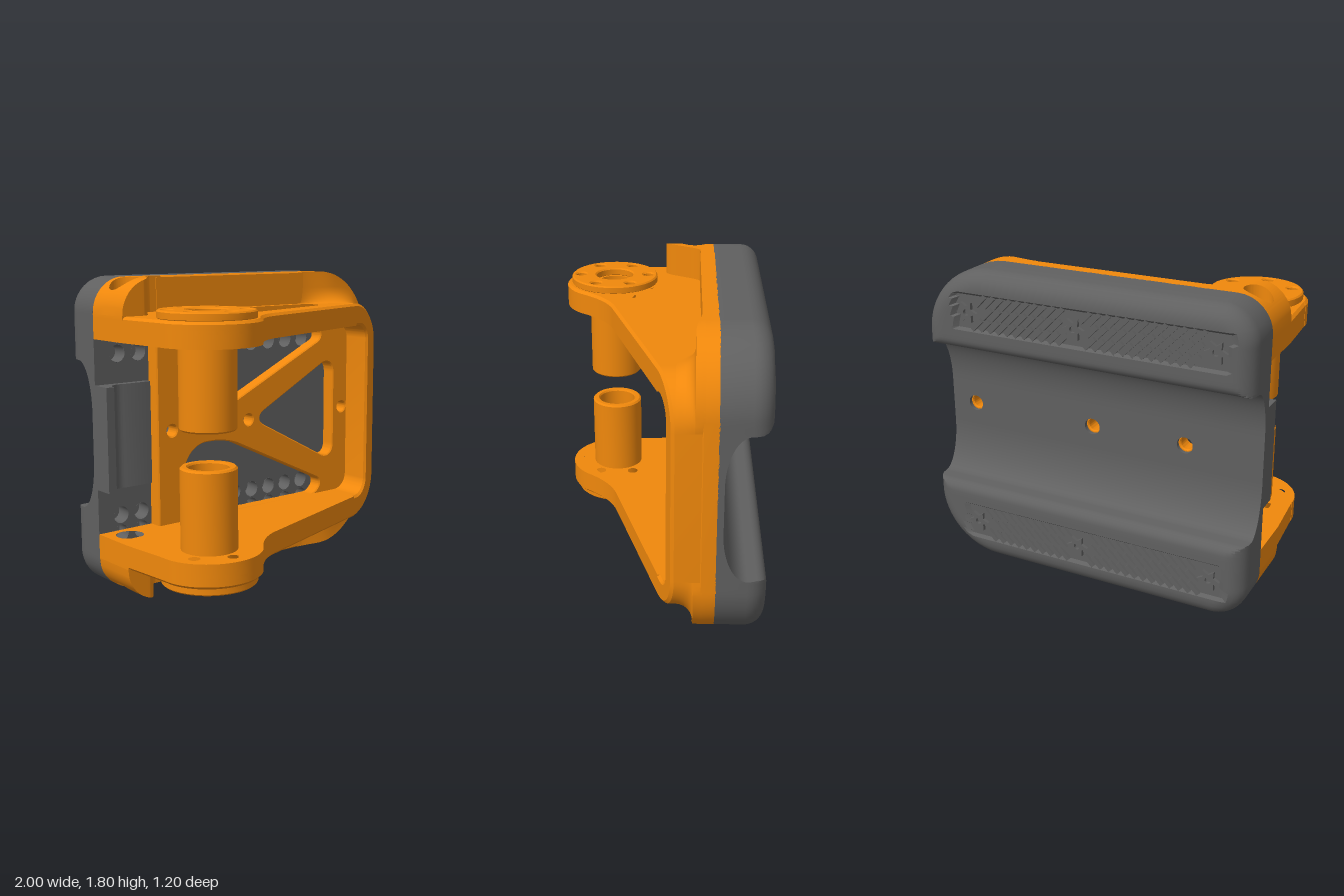
import * as THREE from 'three';
import { toCreasedNormals } from 'three/addons/utils/BufferGeometryUtils.js';

const orange = new THREE.MeshStandardMaterial({ color: 0xf0880c });
const grey = new THREE.MeshStandardMaterial({ color: 0x606060 });
const greyThin = new THREE.MeshStandardMaterial({ color: 0x606060, side: THREE.DoubleSide });
const H = 1.8, PIVOT = [-0.68, 0.3], BOLTS = [-0.54, 0.04, 0.84];

// Polygon whose corners [x, y, cut] are rounded off by the cut length
function roundPoly(pts, Type = THREE.Shape) {
  const s = new Type();
  pts.forEach(([x, y, cut = 0], i) => {
    const toward = (p, d) => new THREE.Vector2(p[0] - x, p[1] - y).setLength(d).add(new THREE.Vector2(x, y));
    const prev = pts[(i + pts.length - 1) % pts.length], next = pts[(i + 1) % pts.length];
    const a = toward(prev, cut), b = toward(next, cut);
    if (i === 0) s.moveTo(a.x, a.y); else s.lineTo(a.x, a.y);
    if (cut) {
      const k = toward(prev, cut * 0.45), l = toward(next, cut * 0.45);
      s.bezierCurveTo(k.x, k.y, l.x, l.y, b.x, b.y);
    }
  });
  s.closePath();
  return s;
}

const circle = (x, y, r) => new THREE.Path().absarc(x, y, r, 0, Math.PI * 2, true);

function extrude(shape, depth, bevel = 0) {
  return new THREE.ExtrudeGeometry(shape, {
    depth: depth - 2 * bevel, curveSegments: 20, bevelEnabled: bevel > 0,
    bevelThickness: bevel, bevelSize: bevel, bevelOffset: -bevel, bevelSegments: 1,
  }).translate(0, 0, bevel);
}

// Shape drawn in x and z, filling the heights y0 to y1
const slab = (shape, y0, y1, bevel) => extrude(shape, y1 - y0, bevel).rotateX(Math.PI / 2).translate(0, y1, 0);

// Surface through rows of points, n points in each
function gridGeometry(pos, n) {
  const idx = [];
  for (let q = n + 1; q < pos.length / 3; q++) {
    if (q % n) idx.push(q - n - 1, q - n, q - 1, q - n, q, q - 1);
  }
  const g = new THREE.BufferGeometry();
  g.setAttribute('position', new THREE.Float32BufferAttribute(pos, 3));
  g.setIndex(idx);
  return g;
}

function add(group, name, geometry, material = orange) {
  const flat = geometry.index ? geometry.toNonIndexed() : geometry;
  const mesh = new THREE.Mesh(toCreasedNormals(flat, 0.6), material);
  mesh.name = name;
  group.add(mesh);
}

// Adds a lower part and its reflection about mid height
function addPair(group, name, geometry, material = orange) {
  const low = geometry.index ? geometry.toNonIndexed() : geometry;
  const high = low.clone().scale(1, -1, 1).translate(0, H, 0);
  const p = high.attributes.position, a = new THREE.Vector3(), b = new THREE.Vector3();
  for (let i = 0; i < p.count; i += 3) {
    a.fromBufferAttribute(p, i); b.fromBufferAttribute(p, i + 2);
    p.setXYZ(i, b.x, b.y, b.z); p.setXYZ(i + 2, a.x, a.y, a.z);
  }
  add(group, name + 'Lower', low, material);
  add(group, name + 'Upper', high, material);
}

// Pad outline, with d the distance above or below mid height
const padLeft = (d) => (d > 0.7 ? -0.8 - Math.sqrt(Math.max(0, 0.04 - (d - 0.7) ** 2)) : -1);
const padRight = (d) => (d > 0.5 ? 0.6 + Math.sqrt(Math.max(0, 0.16 - (d - 0.5) ** 2)) : 1);

// Depth of the pad's back: hollow channel, sunken grip area and rounded rim
function padDepth(x, d) {
  let inset = Math.min(1 - Math.abs(x), 0.9 - d);
  if (x < -0.8 && d > 0.7) inset = 0.2 - Math.hypot(x + 0.8, d - 0.7);
  if (x > 0.6 && d > 0.5) inset = 0.4 - Math.hypot(x - 0.6, d - 0.5);
  const e = 1 - THREE.MathUtils.clamp(inset / 0.11, 0, 1);
  const rim = 0.49 + 0.11 * Math.sqrt(1 - e * e);
  let band = 0.6;
  if (d <= 0.43) band = 0.49 - 0.135 * Math.sqrt(Math.max(0, 1 - ((d - 0.14) / 0.29) ** 2));
  else if (d < 0.49) band = 0.54 + 0.06 * Math.sqrt(1 - ((0.49 - d) / 0.06) ** 2);
  else if (d > 0.56 && d < 0.775 && x > -0.89 && x < 0.78) band = 0.58;
  return Math.min(rim, band);
}

function padHalf() {
  const insets = [0, 0, 0.004, 0.015, 0.032, 0.055, 0.08, 0.11], rows = [], pos = [];
  for (let i = 0; i <= 16; i++) rows.push(0.14 + 0.29 * Math.sin((i / 16) * Math.PI / 2));
  for (let i = 0; i <= 6; i++) rows.push(0.4301 + 0.0599 * (1 - Math.cos((i / 6) * Math.PI / 2)));
  for (let d = 0.52; d < 0.785; d += 0.015) rows.push(d);
  rows.push(...insets.map((v) => 0.9 - v).reverse());
  const n = 2 * insets.length + 59;
  rows.forEach((d, r) => {
    const l = padLeft(d), w = padRight(d) - l;
    const xs = insets.map((v) => l + v);
    for (let k = 1; k < 60; k++) xs.push(l + 0.11 + (w - 0.22) * k / 60);
    xs.push(...insets.map((v) => l + w - v).reverse());
    xs.forEach((x, c) => {
      const front = c === 0 || c === n - 1 || r === rows.length - 1;
      pos.push(x, 0.9 - d, front ? -0.32 : -padDepth(x, d));
    });
  });
  return gridGeometry(pos, n);
}

function buildPad() {
  const pad = new THREE.Group();
  pad.name = 'pad';
  addPair(pad, 'padBack', padHalf(), grey);

  // Thin floor of the channel with its bolt holes
  const floor = roundPoly([[-1, 0.76], [1, 0.76], [1, 1.04], [-1, 1.04]]);
  BOLTS.forEach((x) => floor.holes.push(circle(x, 0.9, 0.048)));
  add(pad, 'channelFloor', extrude(floor, 0.035).translate(0, 0, -0.355), grey);

  // Raised stop in the open side of the frame, grooved by the corner bore
  const stop = new THREE.Shape().moveTo(-0.66, -0.33).lineTo(-1, -0.33).lineTo(-1, -0.2).lineTo(-0.95, -0.2);
  stop.absarc(-0.87, -0.2, 0.08, Math.PI, Math.PI * 1.62, false).lineTo(-0.66, -0.275).closePath();
  add(pad, 'sideStop', slab(stop, 0.6, 1.2), grey);

  // Front face with rows of round pockets
  const face = roundPoly([[-1, 0.76], [-1, 0, 0.2], [1, 0, 0.4], [1, 0.76]]);
  const cup = [[0, -0.1], [0.05, -0.1], [0.05, 0]].map(([r, y]) => new THREE.Vector2(r, y));
  for (let row = 0; row < 2; row++) {
    for (let i = 0; i < 11; i++) {
      const x = -0.85 + 0.14 * i, y = 0.43 - row * 0.11;
      face.holes.push(circle(x, y, 0.05));
      addPair(pad, 'pocket', new THREE.LatheGeometry(cup, 20).rotateX(Math.PI / 2).translate(x, y, -0.32), greyThin);
    }
  }
  addPair(pad, 'padFront', new THREE.ShapeGeometry(face, 20).translate(0, 0, -0.32), grey);

  // Grip: broken diagonal ridges around three star studs
  const studs = [-0.8, 0.02, 0.7];
  for (let x = -0.92; x < 0.82; x += 0.055) {
    for (const s of [-1, 0, 1]) {
      const bx = x + s * 0.07, y = 0.235 + s * 0.07;
      if (bx < -0.87 || bx > 0.76 || studs.some((t) => Math.hypot(bx - t, y - 0.24) < 0.09)) continue;
      addPair(pad, 'gripRidge', new THREE.BoxGeometry(0.085, 0.026, 0.03).rotateZ(Math.PI / 4).translate(bx, y, -0.585), grey);
    }
  }
  studs.forEach((x) => {
    const star = roundPoly(Array.from({ length: 12 }, (_, i) => {
      const r = i % 2 ? 0.036 : 0.066, a = i * Math.PI / 6;
      return [r * Math.cos(a), r * Math.sin(a)];
    }));
    star.holes.push(circle(0, 0, 0.018));
    addPair(pad, 'starStud', extrude(star, 0.03).translate(x, 0.24, -0.6), grey);
  });
  return pad;
}

function addPivotHoles(shape) {
  shape.holes.push(circle(...PIVOT, 0.115));
  for (let i = 0; i < 6; i++) {
    const a = Math.PI / 2 + i * Math.PI / 3;
    shape.holes.push(circle(PIVOT[0] + 0.21 * Math.cos(a), PIVOT[1] + 0.21 * Math.sin(a), 0.033));
  }
}

function armShape() {
  const s = new THREE.Shape().moveTo(0.74, -0.32).lineTo(-1, -0.32).lineTo(-1, -0.03).lineTo(-0.975, 0.3);
  s.absarc(...PIVOT, 0.297, Math.PI, Math.PI * 0.222, true);
  s.quadraticCurveTo(-0.34, 0.34, -0.2, 0.29).lineTo(0.74, -0.002).closePath();
  addPivotHoles(s);
  s.holes.push(circle(-0.87, -0.2, 0.08));
  return s;
}

// Corner boss in thin strips along x, trimmed to the rounded plate corner and bored through
function bossGeometry() {
  const pos = [], top = 0.23;
  const quad = (a, b, c, d) => pos.push(...a, ...b, ...c, ...a, ...c, ...d);
  const section = (x) => {
    const over = Math.max(0, -0.8 - x), bore = Math.sqrt(Math.max(0, 0.0064 - (x + 0.87) ** 2));
    const front = -0.022 - 0.215 * THREE.MathUtils.smoothstep(x, -0.86, -0.68);
    return { x, y: 0.2 - Math.sqrt(Math.max(0, 0.04 - over * over)), front, lo: Math.min(-0.2 - bore, front), hi: Math.min(-0.2 + bore, front) };
  };
  for (let i = 0; i < 80; i++) {
    const s = section(-1 + i * 0.005), t = section(-1 + (i + 1) * 0.005);
    const cap = (a, b) => quad([s.x, s.y, a(s)], [t.x, t.y, a(t)], [t.x, t.y, b(t)], [s.x, s.y, b(s)]);
    const wall = (z, p, q) => quad([p.x, p.y, z(p)], [q.x, q.y, z(q)], [q.x, top, z(q)], [p.x, top, z(p)]);
    cap(() => -0.32, (c) => c.lo);
    cap((c) => c.hi, (c) => c.front);
    wall((c) => c.front, s, t);
    wall((c) => c.lo, s, t);
    wall((c) => c.hi, t, s);
    wall(() => -0.32, t, s);
  }
  quad([-1, 0.2, -0.32], [-1, 0.2, -0.022], [-1, top, -0.022], [-1, top, -0.32]);
  return new THREE.BufferGeometry().setAttribute('position', new THREE.Float32BufferAttribute(pos, 3));
}

// Thickened plate corner, sweeping up in a hollow fillet to the end wall
function shoulderGeometry() {
  const pos = [];
  for (let i = 0; i <= 30; i++) {
    const a = Math.max(0, i - 10) / 20 * Math.PI / 2, dx = Math.sin(a), dy = -Math.cos(a);
    const x = i < 10 ? 0.45 + 0.0285 * i : 0.735 + 0.26 * dx, y = 0.46 + 0.26 * dy;
    // Distance out to the rounded plate edge
    const px = Math.max(0, x - 0.6), py = y - 0.4, along = px * dx + py * dy;
    const reach = Math.sqrt(along * along - px * px - py * py + 0.16) - along;
    const swell = THREE.MathUtils.smoothstep(i, 0, 10), base = -0.237 + 0.037 * swell;
    const point = (w, z) => pos.push(x + w * dx, y + w * dy, z);
    for (let k = 6; k >= 0; k--) {
      const u = k / 6 * Math.PI / 2;
      point(Math.min(0.1, reach) * (1 - Math.sin(u)), base + 0.1 * swell * (1 - Math.cos(u)));
    }
    point(reach, base);
    point(reach, -0.25);
  }
  return gridGeometry(pos, 9);
}

function buildFrame() {
  const frame = new THREE.Group();
  frame.name = 'frame';

  // Base plate with truss windows and bolt holes
  const plate = roundPoly([[-0.64, 0], [1, 0, 0.4], [1, H, 0.4], [-0.64, H]]);
  for (const m of [(y) => y, (y) => H - y]) {
    plate.holes.push(roundPoly([[-0.45, m(1.46), 0.02], [-0.45, m(1), 0.17], [-0.13, m(1), 0.1],
      [0.68, m(1.38), 0.07], [0.6, m(1.46), 0.03]], THREE.Path));
  }
  plate.holes.push(roundPoly([[0.08, 0.9, 0.1], [0.76, 1.255, 0.12], [0.76, 0.545, 0.12]], THREE.Path));
  BOLTS.forEach((x) => plate.holes.push(circle(x, 0.9, 0.035)));
  add(frame, 'trussPlate', extrude(plate, 0.095, 0.007).translate(0, 0, -0.33));

  // End wall joining the arms, its front edge sloping with them
  const wall = roundPoly([[0.7, 1.6], [0.995, 1.6, 0.26], [0.995, 0.2, 0.26], [0.7, 0.2],
    [0.7, 0.34], [0.885, 0.34, 0.1], [0.885, 1.46, 0.1], [0.7, 1.46]]);
  const wallGeo = extrude(wall, 1, 0.015), p = wallGeo.attributes.position;
  for (let i = 0; i < p.count; i++) {
    const z = p.getZ(i);
    p.setZ(i, z > 0.5 ? z - 1.083 + (1 - p.getX(i)) * 0.311 : z - 0.31);
  }
  add(frame, 'endWall', wallGeo);
  addPair(frame, 'shoulder', shoulderGeometry());

  // Arms, with a chamfered rim and shallow pocket on the outer face
  const outer = armShape();
  outer.holes.push(roundPoly([[-0.62, -0.2], [-0.64, 0, 0.08], [-0.36, 0.21, 0.08], [0.5, -0.04, 0.08], [0.5, -0.2, 0.06]], THREE.Path));
  addPair(frame, 'armInner', slab(armShape(), 0.245, 0.34));
  addPair(frame, 'armOuter', slab(outer, 0.2, 0.28, 0.015));

  addPair(frame, 'cornerBoss', bossGeometry());

  // Pivot discs and hollow pivot tubes
  const disc = new THREE.Shape().absarc(...PIVOT, 0.268, 0, Math.PI * 2);
  addPivotHoles(disc);
  addPair(frame, 'pivotDisc', slab(disc, 0.155, 0.205, 0.008));
  const ring = [[0.115, 0.2], [0.158, 0.2], [0.158, 0.79], [0.148, 0.8], [0.122, 0.8], [0.115, 0.79], [0.115, 0.2]];
  addPair(frame, 'pivotTube', new THREE.LatheGeometry(ring.map(([r, y]) => new THREE.Vector2(r, y)), 40)
    .translate(PIVOT[0], 0, PIVOT[1]));
  return frame;
}

export function createModel() {
  const model = new THREE.Group();
  model.name = 'hingedBracket';
  model.add(buildPad(), buildFrame());
  return model;
}
